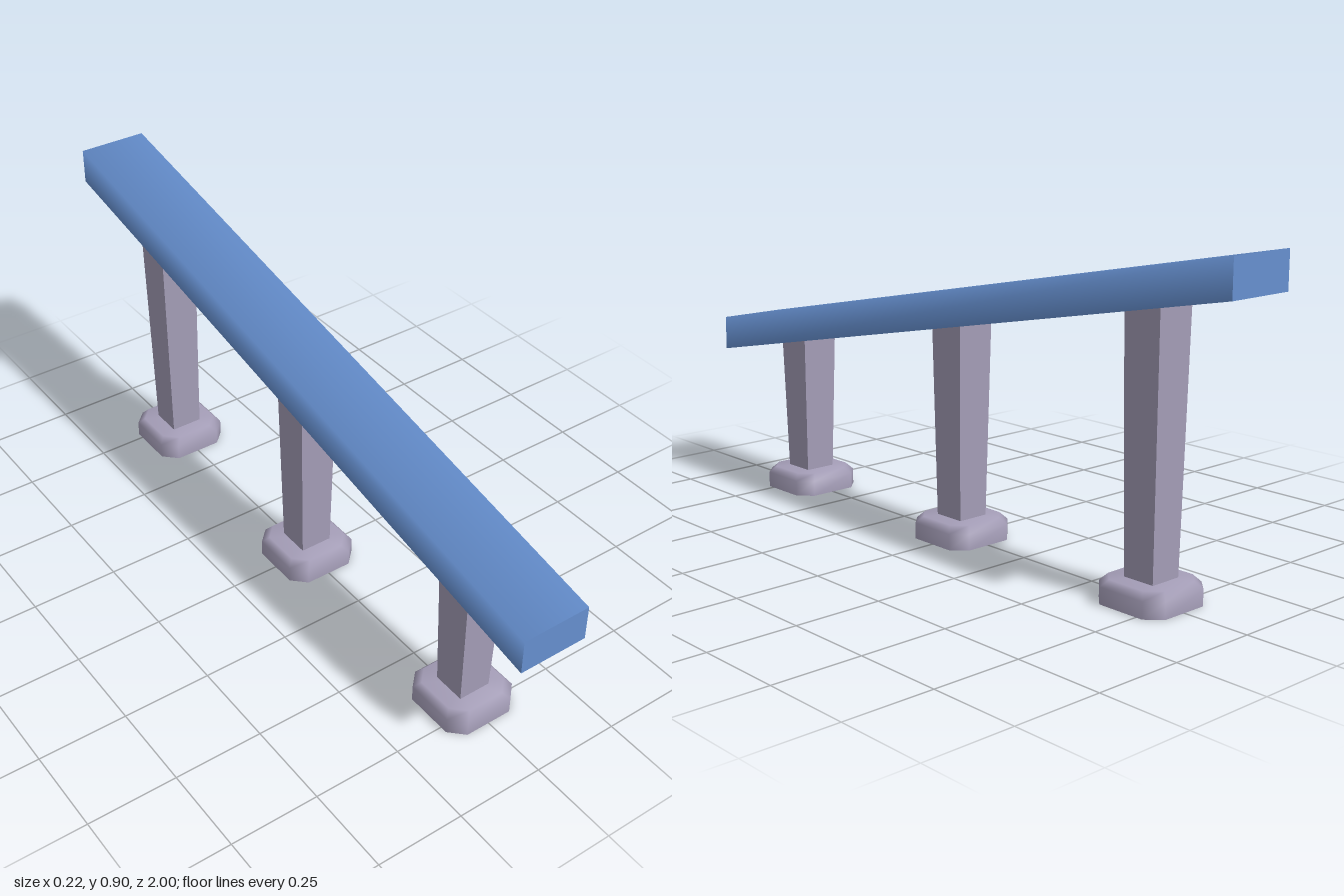
import * as THREE from 'three';

const HALF = 0.1;            // half width of the beam
const SLOPE = 0.2;           // rise of the beam towards the back
const undersideAt = (z) => 0.6 - SLOPE * z;

// Sloping beam: upper long edges share soft normals, underside and ends stay sharp
function beamGeometry() {
  const pos = [], nor = [], idx = [];
  const point = (x, top, z) => [x, undersideAt(z) + (top ? 0.1 : 0), z];
  const quad = (points, normals) => {
    const b = pos.length / 3;
    points.forEach((p, i) => {
      pos.push(...p);
      nor.push(...new THREE.Vector3(...normals[i]).normalize().toArray());
    });
    idx.push(b, b + 1, b + 2, b, b + 2, b + 3);
  };
  const soft = (s) => [s, 1, SLOPE];
  const L = -HALF, R = HALF;
  // top
  quad([point(L, 1, 1), point(R, 1, 1), point(R, 1, -1), point(L, 1, -1)],
    [soft(-1), soft(1), soft(1), soft(-1)]);
  // long sides
  for (const s of [-1, 1]) {
    const x = s * HALF;
    quad([point(x, 0, s), point(x, 0, -s), point(x, 1, -s), point(x, 1, s)],
      [[s, 0, 0], [s, 0, 0], soft(s), soft(s)]);
  }
  // ends
  for (const s of [-1, 1]) {
    const x = s * HALF;
    quad([point(-x, 0, s), point(x, 0, s), point(x, 1, s), point(-x, 1, s)],
      Array(4).fill([0, 0, s]));
  }
  // underside
  quad([point(L, 0, -1), point(R, 0, -1), point(R, 0, 1), point(L, 0, 1)],
    Array(4).fill([0, -1, -SLOPE]));

  const g = new THREE.BufferGeometry();
  g.setAttribute('position', new THREE.Float32BufferAttribute(pos, 3));
  g.setAttribute('normal', new THREE.Float32BufferAttribute(nor, 3));
  g.setIndex(idx);
  return g;
}

// Square leg that widens slightly towards the top
function legGeometry(top) {
  const bottom = 0.06;
  const g = new THREE.BoxGeometry(1, top - bottom, 1).toNonIndexed();
  g.translate(0, (top + bottom) / 2, 0);
  const p = g.attributes.position;
  for (let i = 0; i < p.count; i++) {
    const w = p.getY(i) > bottom + 0.01 ? 0.114 : 0.094;
    p.setX(i, p.getX(i) * w);
    p.setZ(i, p.getZ(i) * w);
  }
  g.computeVertexNormals();
  return g;
}

// Hollow foot: cut-corner square rings, chamfered at the top and open below
function footGeometry() {
  const pos = [], idx = [];
  const rings = [[0, 0.109, 0.07], [0.045, 0.109, 0.07], [0.064, 0.092, 0.055]];
  for (const [y, a, b] of rings) {
    for (const [x, z] of [[a, b], [b, a], [-b, a], [-a, b], [-a, -b], [-b, -a], [b, -a], [a, -b]])
      pos.push(x, y, z);
  }
  for (let r = 0; r < 2; r++) {
    for (let i = 0; i < 8; i++) {
      const a = r * 8 + i, b = r * 8 + (i + 1) % 8;
      idx.push(a, a + 8, b, b, a + 8, b + 8);
    }
  }
  // top cap
  pos.push(0, 0.064, 0);
  for (let i = 0; i < 8; i++) idx.push(24, 16 + (i + 1) % 8, 16 + i);
  const g = new THREE.BufferGeometry();
  g.setAttribute('position', new THREE.Float32BufferAttribute(pos, 3));
  g.setIndex(idx);
  g.computeVertexNormals();
  return g;
}

export function createModel() {
  const blue = new THREE.MeshStandardMaterial({ color: 0x6690d0 });
  blue.name = 'blue';
  const grey = new THREE.MeshStandardMaterial({ color: 0xa59eb8, side: THREE.DoubleSide });
  grey.name = 'lilac grey';

  const model = new THREE.Group();
  model.name = 'slopingRail';
  const add = (parent, name, geometry, material) => {
    const mesh = new THREE.Mesh(geometry, material);
    mesh.name = name;
    parent.add(mesh);
  };

  add(model, 'beam', beamGeometry(), blue);

  // three supports, each reaching just inside the beam
  const foot = footGeometry();
  for (const z of [0.7, 0, -0.7]) {
    const support = new THREE.Group();
    support.name = 'support';
    support.position.z = z;
    add(support, 'leg', legGeometry(undersideAt(z) + 0.02), grey);
    add(support, 'foot', foot, grey);
    model.add(support);
  }
  return model;
}
